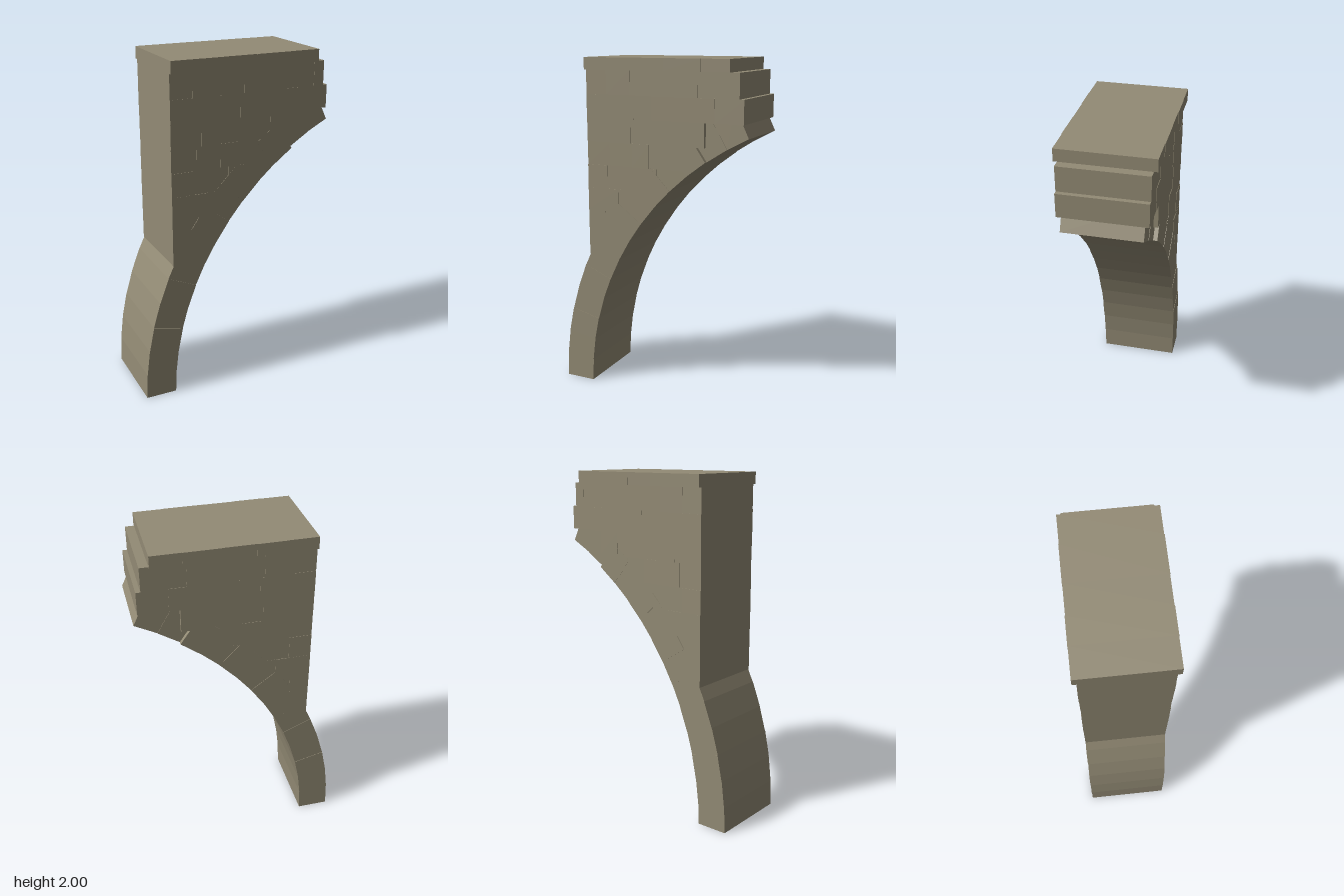
import * as THREE from 'three';

// Arch ring: circle centre on the ground line, inner and outer radius
const CX = 1.347, R_IN = 1.752, R_OUT = 1.937, STONES = 14;
const STEP = THREE.MathUtils.degToRad(64.4) / STONES;
const HALF = 0.245, LEFT = -0.404;

// x of a ring edge at height y
const ringX = (r, y) => CX - Math.sqrt(r * r - y * y);

// Small repeatable unevenness so neighbouring stones catch an edge
const uneven = (i) => ((i * 7) % 5 - 2) * 0.0008;

export function createModel() {
  const group = new THREE.Group();
  const stone = new THREE.MeshStandardMaterial({ color: 0x938b75 });
  stone.name = 'stone';
  let count = 0;

  const add = (geometry, name, parent) => {
    const mesh = new THREE.Mesh(geometry, stone);
    mesh.name = name;
    parent.add(mesh);
    return mesh;
  };

  // Wedge stones of the arch; the last two are narrower
  const arch = new THREE.Group();
  arch.name = 'archRing';
  group.add(arch);
  const at = (r, a) => new THREE.Vector2(CX - r * Math.cos(a), r * Math.sin(a));
  for (let i = 0; i < STONES; i++) {
    const a = i * STEP, b = a + STEP;
    const half = (i >= STONES - 2 ? 0.22 : HALF) + uneven(i);
    const shape = new THREE.Shape([at(R_IN, a), at(R_IN, b), at(R_OUT, b), at(R_OUT, a)]);
    const geometry = new THREE.ExtrudeGeometry(shape, { depth: half * 2, bevelEnabled: false });
    geometry.translate(0, 0, -half);
    add(geometry, 'archStone', arch);
  }

  // A course of blocks between the listed x joints
  const course = (name, y0, y1, joints, half) => {
    const row = new THREE.Group();
    row.name = name;
    group.add(row);
    for (let i = 0; i < joints.length - 1; i++) {
      const x0 = joints[i], x1 = joints[i + 1];
      const depth = 2 * (half + uneven(++count));
      add(new THREE.BoxGeometry(x1 - x0, y1 - y0, depth), name + 'Block', row)
        .position.set((x0 + x1) / 2, (y0 + y1) / 2, 0);
    }
  };

  // Cap slabs and the stepped courses below them
  course('cap', 1.93, 2, [LEFT, -0.23, -0.07, 0.102, 0.323, 0.492], 0.268);
  course('upperCourse', 1.79, 1.93, [LEFT, -0.275, -0.12, 0.035, 0.3, 0.48, 0.542], HALF);
  course('lowerCourse', 1.655, 1.79, [LEFT, -0.095, 0.015, 0.4, 0.568], HALF);
  course('wallCourse', 1.518, 1.655, [LEFT, -0.225, -0.115, 0.205, 0.34], HALF);

  // Spandrel courses whose ends stop inside the arch ring
  const joints = [[-0.255, -0.11, 0], [-0.275, -0.06], [-0.2], [-0.29], []];
  const height = (1.518 - 0.83) / joints.length;
  joints.forEach((inner, i) => {
    const y1 = 1.518 - i * height, y0 = y1 - height;
    const end = (ringX(R_IN, y0) + ringX(R_OUT, y1)) / 2;
    course('wallCourse', y0, y1, [LEFT, ...inner, end], HALF);
  });

  return group;
}
